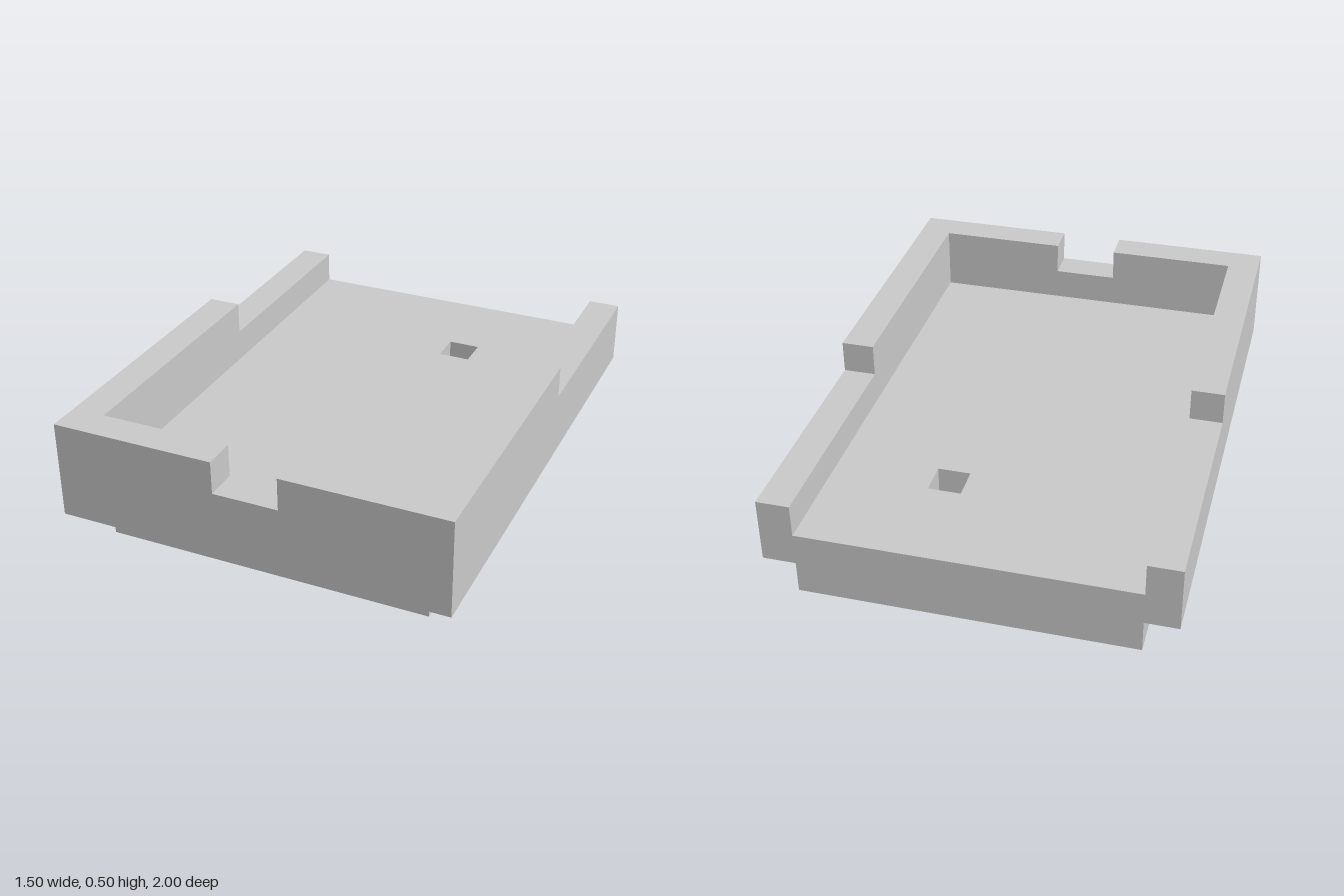
import * as THREE from 'three';

const U = 0.125; // wall thickness; every size is a multiple of it
const material = new THREE.MeshStandardMaterial({ color: 0xcccccc, flatShading: true });

const outline = (points) => new THREE.Shape(points.map(([x, y]) => new THREE.Vector2(x * U, y * U)));
const extrude = (shape, depth) =>
  new THREE.ExtrudeGeometry(shape, { depth: depth * U, bevelEnabled: false });

export function createModel() {
  const group = new THREE.Group();
  const add = (name, geometry) => {
    const mesh = new THREE.Mesh(geometry, material);
    mesh.name = name;
    group.add(mesh);
  };

  // Inset base slab, flush with the back
  add('base', new THREE.BoxGeometry(10 * U, U, 15 * U).translate(0, U / 2, -U / 2));

  // Tray floor with a small square pit
  const floor = outline([[-5, -7], [5, -7], [5, 8], [-5, 8]]);
  floor.holes.push(outline([[1, 4], [1, 5], [2, 5], [2, 4]]));
  add('floor', extrude(floor, 1).rotateX(-Math.PI / 2).translate(0, U, 0));

  // Front wall with a central notch
  const front = outline([[-6, 1], [6, 1], [6, 4], [1, 4], [1, 3], [-1, 3], [-1, 4], [-6, 4]]);
  add('frontWall', extrude(front, 1).translate(0, 0, 7 * U));

  // Side walls, stepping down towards the open back
  const side = outline([[-7, 1], [8, 1], [8, 3], [1, 3], [1, 4], [-7, 4]]);
  for (const [name, x] of [['leftWall', 5], ['rightWall', -6]]) {
    add(name, extrude(side, 1).rotateY(Math.PI / 2).translate(x * U, 0, 0));
  }

  return group;
}
